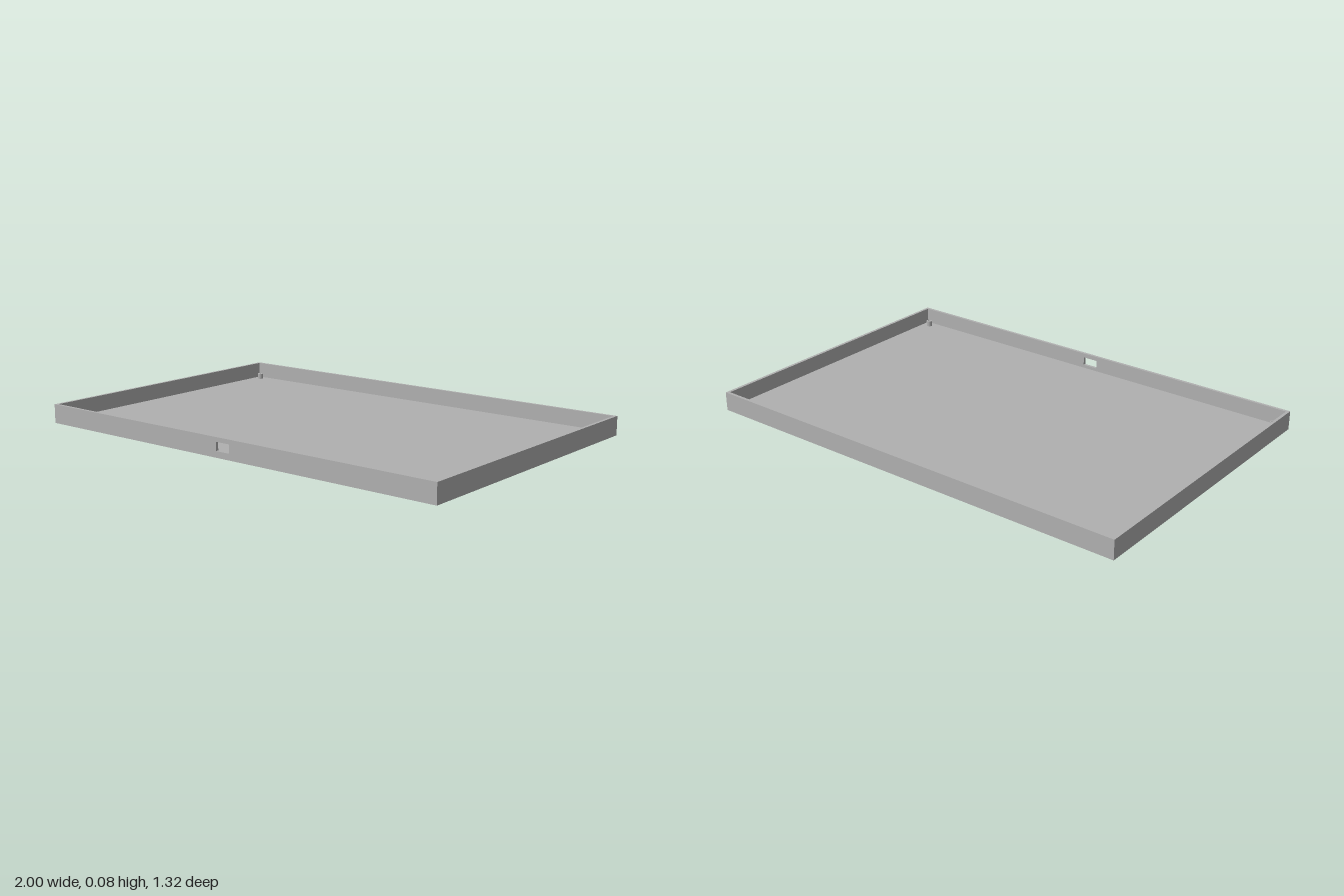
import * as THREE from 'three';

const W = 1, D = 0.66, H = 0.083, T = 0.013; // half width, half depth, height, wall thickness

function rect(target, x0, y0, x1, y1) {
  target.moveTo(x0, y0);
  target.lineTo(x1, y0);
  target.lineTo(x1, y1);
  target.lineTo(x0, y1);
  target.closePath();
  return target;
}

export function createModel() {
  const group = new THREE.Group();
  const grey = new THREE.MeshStandardMaterial({ color: 0xb0b0b0 });
  grey.name = 'grey plastic';

  const add = (name, geometry, x, y, z) => {
    const mesh = new THREE.Mesh(geometry, grey);
    mesh.name = name;
    mesh.position.set(x, y, z);
    group.add(mesh);
    return mesh;
  };

  // Floor plate
  add('floor', new THREE.BoxGeometry(2 * W, T, 2 * D), 0, T / 2, 0);

  // Back and side walls
  const wallH = H - T, wallY = T + wallH / 2;
  add('backWall', new THREE.BoxGeometry(2 * W, wallH, T), 0, wallY, -D + T / 2);
  for (const s of [-1, 1]) {
    add(s > 0 ? 'leftWall' : 'rightWall',
      new THREE.BoxGeometry(T, wallH, 2 * (D - T)), s * (W - T / 2), wallY, 0);
  }

  // Front wall with the port opening
  const front = rect(new THREE.Shape(), -W, T, W, H);
  front.holes.push(rect(new THREE.Path(), -0.035, 0.027, 0.035, 0.064));
  add('frontWall', new THREE.ExtrudeGeometry(front, { depth: T, bevelEnabled: false }), 0, 0, D - T);

  // Hollow screw posts in the four corners
  const ring = new THREE.Shape().absarc(0, 0, 0.013, 0, Math.PI * 2);
  ring.holes.push(new THREE.Path().absarc(0, 0, 0.006, 0, Math.PI * 2, true));
  const post = new THREE.ExtrudeGeometry(ring, { depth: 0.025, bevelEnabled: false, curveSegments: 24 });
  post.rotateX(-Math.PI / 2);
  for (const x of [-0.95, 0.95]) {
    for (const z of [-0.613, 0.613]) add('screwPost', post, x, T, z);
  }
  return group;
}
